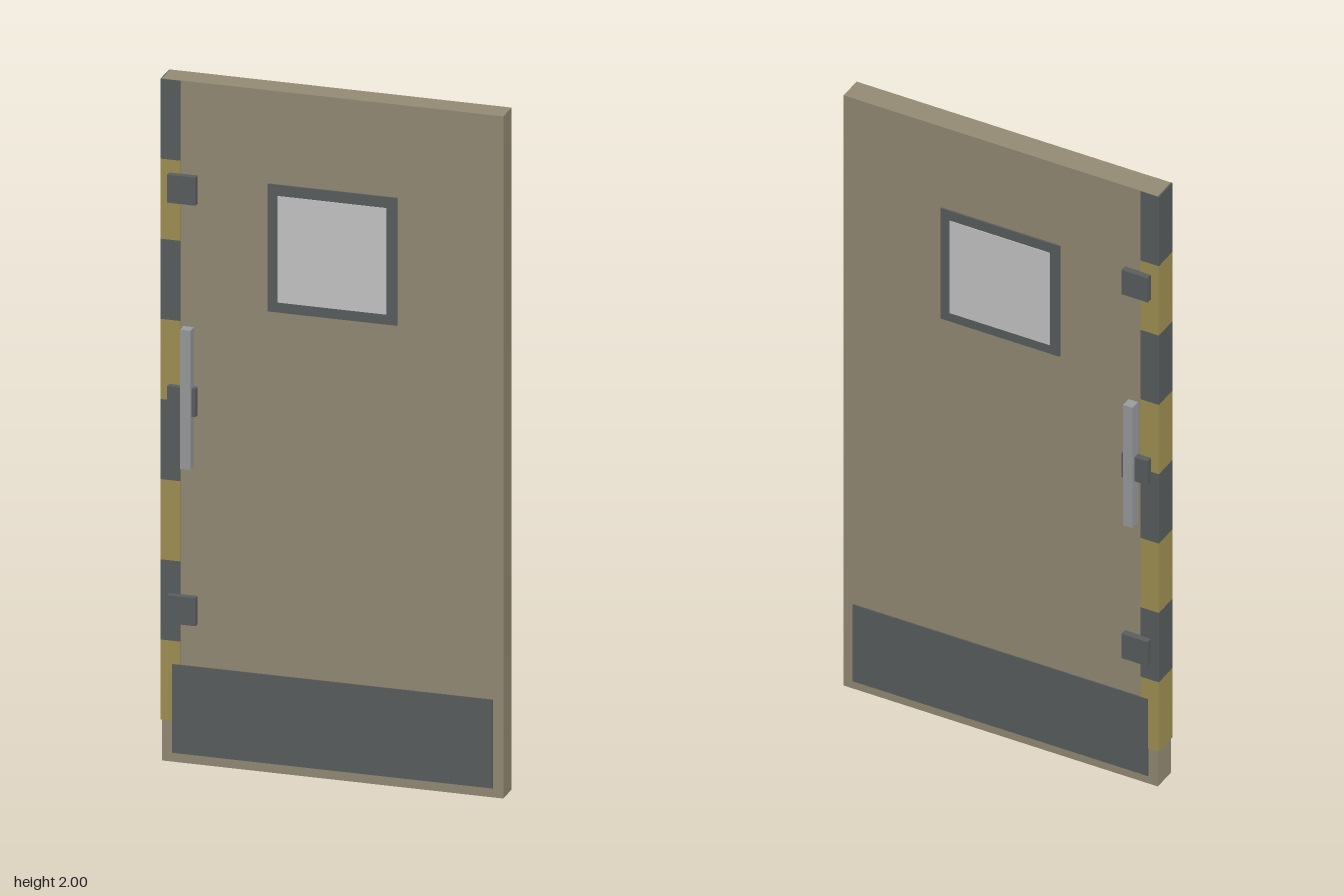
import * as THREE from 'three';

const material = (name, color) => {
  const m = new THREE.MeshStandardMaterial({ color });
  m.name = name;
  return m;
};

export function createModel() {
  const door = new THREE.Group();
  door.name = 'door';
  const beige = material('beige paint', 0x968d76);
  const dark = material('dark grey metal', 0x5b5f60);
  const yellow = material('hazard yellow', 0xa39355);
  const steel = material('light steel', 0x9b9d9f);
  const glass = material('pale glass', 0xc8c8c8);

  // Box given by its limits on each axis
  const box = (name, mat, x0, x1, y0, y1, z0, z1) => {
    const mesh = new THREE.Mesh(new THREE.BoxGeometry(x1 - x0, y1 - y0, z1 - z0), mat);
    mesh.position.set((x0 + x1) / 2, (y0 + y1) / 2, (z0 + z1) / 2);
    mesh.name = name;
    door.add(mesh);
  };
  const T = 0.037; // half thickness of the leaf

  box('doorPanel', beige, -0.493, 0.493, 0, 2, -T, T);

  // Hazard stripes wrapped round the opening edge
  for (let i = 0; i < 8; i++) {
    const top = 2 - i * 0.235;
    box('edgeStripe', i % 2 ? yellow : dark, -0.497, -0.44,
      top - 0.235, i ? top : 1.999, -T - 0.0015, T + 0.0015);
  }

  // Window frame outline with a square opening
  const frame = new THREE.Shape([[-0.187, 1.353], [0.187, 1.353], [0.187, 1.727], [-0.187, 1.727]]
    .map(([x, y]) => new THREE.Vector2(x, y)));
  frame.holes.push(new THREE.Path([[-0.157, 1.383], [-0.157, 1.695], [0.157, 1.695], [0.157, 1.383]]
    .map(([x, y]) => new THREE.Vector2(x, y))));
  const frameGeometry = new THREE.ExtrudeGeometry(frame, { depth: 0.005, bevelEnabled: false });

  // Fittings repeated on both faces
  for (const side of [1, -1]) {
    const fitting = (name, mat, x0, x1, y0, y1, out) =>
      box(name, mat, x0, x1, y0, y1, side > 0 ? T : -out, side > 0 ? out : -T);

    const windowFrame = new THREE.Mesh(frameGeometry, dark);
    windowFrame.name = 'windowFrame';
    windowFrame.position.z = side > 0 ? T : -T - 0.005;
    door.add(windowFrame);
    fitting('windowPane', glass, -0.157, 0.157, 1.383, 1.695, 0.044);
    fitting('kickPlate', dark, -0.463, 0.463, 0.027, 0.287, 0.0405);
    for (const y of [0.453, 1.066, 1.686])
      fitting('edgeBlock', dark, -0.472, -0.39, y - 0.041, y + 0.041, 0.057);
    fitting('handleBar', steel, -0.431, -0.401, 0.873, 1.281, 0.068);
  }
  return door;
}
